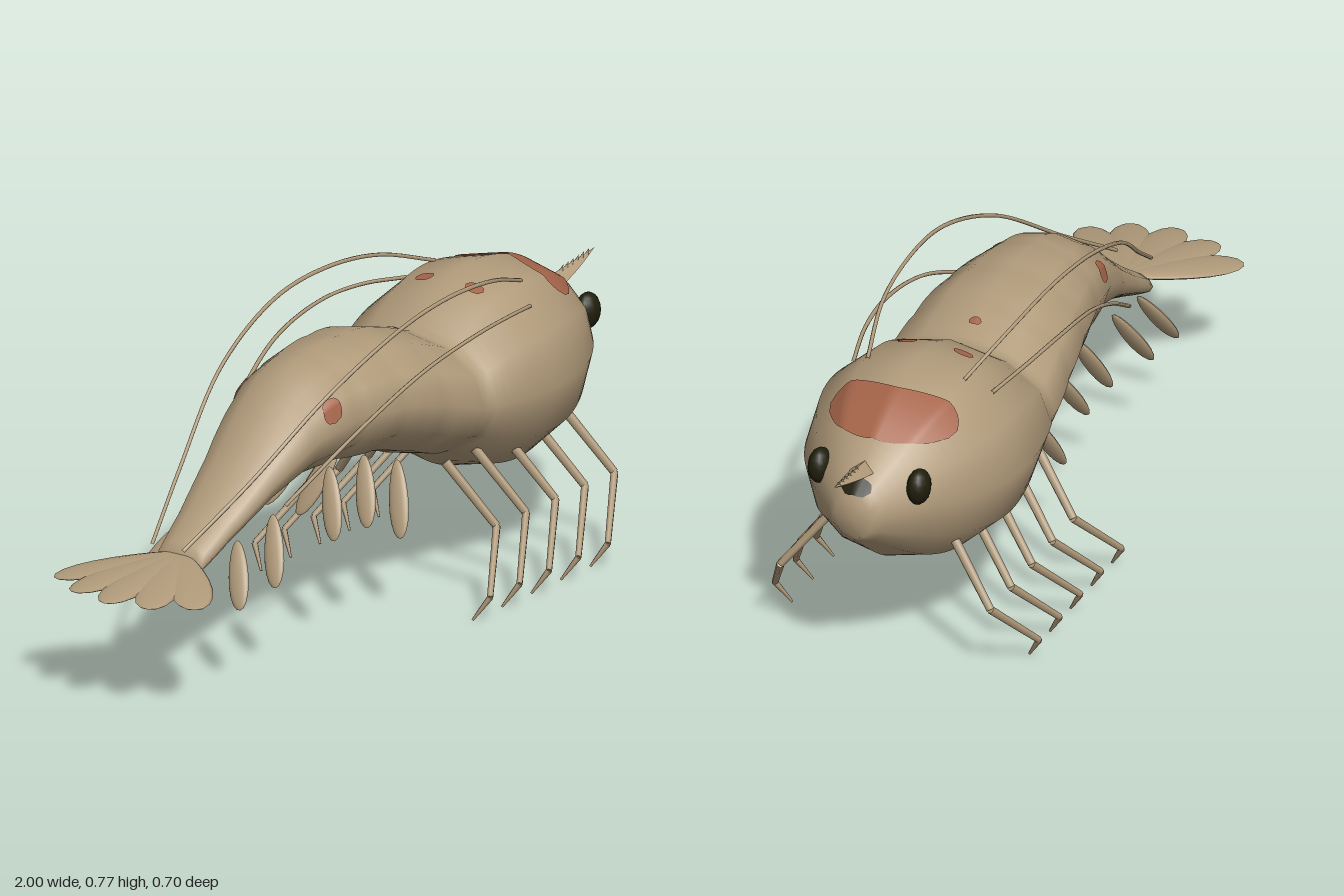
import * as THREE from 'three';

const mat = (name, color, side = THREE.FrontSide) => {
  const m = new THREE.MeshStandardMaterial({ color, side });
  m.name = name;
  return m;
};
const V = (x, y, z) => new THREE.Vector3(x, y, z);

// Body stations: x, centre line top, bottom, half width
const STATIONS = [
  [-0.7, 0.33, 0.265, 0.068], [-0.6, 0.4, 0.31, 0.083], [-0.5, 0.475, 0.355, 0.1],
  [-0.4, 0.56, 0.39, 0.12], [-0.3, 0.635, 0.41, 0.14], [-0.2, 0.675, 0.41, 0.16],
  [-0.1, 0.687, 0.4, 0.18], [0, 0.685, 0.387, 0.2], [0.1, 0.67, 0.355, 0.217],
  [0.2, 0.635, 0.325, 0.23], [0.25, 0.622, 0.315, 0.235], [0.32, 0.665, 0.27, 0.252],
  [0.4, 0.702, 0.237, 0.266], [0.5, 0.72, 0.222, 0.271], [0.6, 0.71, 0.235, 0.252],
  [0.7, 0.675, 0.275, 0.208], [0.8, 0.61, 0.345, 0.137], [0.89, 0.53, 0.42, 0.05],
];
const profile = new THREE.CubicInterpolant(
  STATIONS.map((s) => s[0]), STATIONS.flatMap((s) => s.slice(1)), 3);
const SIDES = 12;

// Point on the twelve-sided body; angle 0 is the back, positive towards +z
function bodyPoint(x, a, lift = 0) {
  const [top, bottom, halfWidth] = profile.evaluate(x);
  let k = 1;
  if (x > -0.65 && x < 0.25) k -= 0.025 * (1 - Math.abs(Math.sin(((x - 0.25) / 0.14) * Math.PI))) ** 2;
  const step = (Math.PI * 2) / SIDES;
  const local = ((a % step) + step) % step;
  k *= Math.cos(step / 2) / Math.cos(local - step / 2);
  return V(x, (top + bottom) / 2 + Math.cos(a) * (k * (top - bottom) / 2 + lift),
    Math.sin(a) * (k * halfWidth + lift));
}

function geometryFrom(points, index) {
  const g = new THREE.BufferGeometry().setFromPoints(points);
  g.setIndex(index);
  g.computeVertexNormals();
  return g;
}

function bodyGeometry() {
  const pts = [], idx = [], rings = 72;
  for (let i = 0; i <= rings; i++)
    for (let j = 0; j < SIDES; j++)
      pts.push(bodyPoint(-0.7 + (1.59 * i) / rings, (j / SIDES) * Math.PI * 2));
  const rear = pts.push(V(-0.7, 0.2975, 0)) - 1;
  const nose = pts.push(V(0.895, 0.475, 0)) - 1;
  for (let j = 0; j < SIDES; j++) {
    const n = (j + 1) % SIDES, last = rings * SIDES;
    for (let i = 0; i < rings; i++) {
      const a = i * SIDES + j, b = i * SIDES + n;
      idx.push(a, b, a + SIDES, b, b + SIDES, a + SIDES);
    }
    idx.push(rear, n, j, nose, last + j, last + n);
  }
  return geometryFrom(pts, idx);
}

// Thin painted sheet lying on the body; range(t) gives [xMin, xMax] for t in -1..1
function patchGeometry(angle, halfAngle, range, n = 16) {
  const pts = [], idx = [];
  for (let i = 0; i <= n; i++) {
    const t = (i / n) * 2 - 1, [lo, hi] = range(t);
    for (let j = 0; j <= n; j++)
      pts.push(bodyPoint(lo + ((hi - lo) * j) / n, angle + t * halfAngle, 0.004));
  }
  for (let i = 0; i < n; i++)
    for (let j = 0; j < n; j++) {
      const a = i * (n + 1) + j, b = a + n + 1;
      idx.push(a, b, a + 1, b, b + 1, a + 1);
    }
  return geometryFrom(pts, idx);
}
const oval = (x, r) => (t) => {
  const h = r * Math.pow(Math.max(0, 1 - t * t), 0.35);
  return [x - h, x + h];
};

// Leaf running from y = 0 to y = length, wide along x, thin along z
function leafGeometry(length, halfWidth, halfThick, bias) {
  const g = new THREE.SphereGeometry(1, 12, 10);
  const p = g.attributes.position;
  for (let i = 0; i < p.count; i++) {
    const y = p.getY(i), w = 1 + bias * y;
    p.setXYZ(i, p.getX(i) * halfWidth * w, ((y + 1) / 2) * length, p.getZ(i) * halfThick);
  }
  g.computeVertexNormals();
  return g;
}

// Place a leaf from a to b with its width along the given direction
function placeLeaf(mesh, a, b, across) {
  const y = b.clone().sub(a).normalize();
  const z = across.clone().cross(y).normalize();
  const x = y.clone().cross(z);
  mesh.quaternion.setFromRotationMatrix(new THREE.Matrix4().makeBasis(x, y, z));
  mesh.position.copy(a);
}

export function createModel() {
  const root = new THREE.Group();
  root.name = 'shrimp';
  const shell = mat('shell tan', 0xb09a7a);
  const rust = mat('rust marking', 0xa6654a, THREE.DoubleSide);
  const dark = mat('eye dark', 0x201e0b, THREE.DoubleSide);
  const add = (name, geo, m, parent = root) => {
    const mesh = new THREE.Mesh(geo, m);
    mesh.name = name;
    parent.add(mesh);
    return mesh;
  };

  add('body', bodyGeometry(), shell);

  // Markings on the back and flanks
  add('headMarking', patchGeometry(0, 0.8, (t) => [
    0.64 - 0.03 * Math.sin(Math.min(1, Math.abs(t) * 1.2) * Math.PI / 2) + 0.04 * t ** 8,
    0.775 - 0.055 * t * t - 0.04 * t ** 8], 24), rust);
  add('backSpot', patchGeometry(0, 0.07, oval(0.18, 0.011), 8), rust);
  add('noseMarking', patchGeometry(0, 0.55, oval(0.87, 0.018), 8), dark);

  // Rostrum: a tapering diamond spike curving up, with teeth along its top
  const spike = new THREE.ConeGeometry(1, 1, 4, 8).toNonIndexed();
  const p = spike.attributes.position;
  const spikeY = (t) => 0.567 + 0.047 * Math.pow(t, 1.4);
  for (let i = 0; i < p.count; i++) {
    const t = p.getY(i) + 0.5, r = Math.max(1e-6, 1 - t);
    const w = (1 - Math.pow(t, 1.5)) / r;
    p.setXYZ(i, 0.78 + 0.22 * t, spikeY(t) - p.getX(i) * 0.025 * w, p.getZ(i) * 0.033 * w);
  }
  spike.computeVertexNormals();
  add('rostrum', spike, shell);
  for (let i = 0; i < 6; i++) {
    const t = 0.4 + i * 0.095;
    const tooth = add('rostrumTooth', new THREE.ConeGeometry(0.006, 0.018, 4), shell);
    tooth.position.set(0.78 + 0.22 * t, spikeY(t) + 0.025 * (1 - t ** 1.5) + 0.001, 0);
    tooth.rotation.z = -0.7;
  }

  // Legs, swimmerets, feelers and eyes on both sides
  for (const s of [1, -1]) {
    const side = new THREE.Group();
    side.name = s > 0 ? 'leftSide' : 'rightSide';
    root.add(side);

    const eye = add('eye', new THREE.SphereGeometry(1, 14, 10), dark, side);
    eye.scale.set(0.038, 0.045, 0.028);
    eye.position.set(0.793, 0.54, 0.128 * s);

    add('shoulderSpot', patchGeometry(s * 0.28, 0.1, oval(0.41, 0.016), 8), rust, side);
    add('flankSpot', patchGeometry(s * 1.15, 0.24, oval(-0.257, 0.027), 10), rust, side);

    // Five jointed walking legs
    for (let i = 0; i < 5; i++) {
      const x = 0.7 - i * 0.12;
      const joints = [V(x - 0.045, 0.34, 0.155 * s), V(x, 0.19, 0.272 * s),
        V(x - 0.125, 0.06, 0.342 * s), V(x - 0.147, 0.003, 0.307 * s)];
      const radii = [0.012, 0.01, 0.008, 0.003];
      const leg = new THREE.Group();
      leg.name = 'walkingLeg';
      side.add(leg);
      for (let k = 0; k < 3; k++) {
        const d = joints[k + 1].clone().sub(joints[k]);
        const seg = add('legSegment',
          new THREE.CylinderGeometry(radii[k + 1], radii[k], d.length(), 6), shell, leg);
        seg.position.copy(joints[k]).addScaledVector(d, 0.5);
        seg.quaternion.setFromUnitVectors(V(0, 1, 0), d.normalize());
      }
    }

    // Five paddle-shaped swimmerets: root x, root y, tip x, tip y
    for (const [x0, y0, x1, y1] of [[0.075, 0.36, 0, 0.195], [-0.06, 0.41, -0.135, 0.26],
      [-0.2, 0.42, -0.27, 0.265], [-0.43, 0.365, -0.51, 0.215], [-0.575, 0.34, -0.655, 0.2]]) {
      const a = V(x0, y0, 0.085 * s), b = V(x1, y1, 0.15 * s);
      const leaf = add('swimmeret',
        leafGeometry(a.distanceTo(b), 0.027, 0.011, 0.15), shell, side);
      placeLeaf(leaf, a, b, V(0, 0, 1));
    }

    // Long upper and short lower feelers sweeping back
    for (const [name, pts] of [
      ['longFeeler', [[0.525, 0.69, 0.125], [0.35, 0.745, 0.165], [0.15, 0.763, 0.182],
        [-0.05, 0.74, 0.185], [-0.3, 0.645, 0.16], [-0.55, 0.475, 0.1], [-0.74, 0.35, 0.045]]],
      ['shortFeeler', [[0.485, 0.648, 0.18], [0.35, 0.663, 0.21], [0.2, 0.662, 0.224],
        [0, 0.625, 0.215], [-0.2, 0.535, 0.18], [-0.435, 0.395, 0.125]]]]) {
      const curve = new THREE.CatmullRomCurve3(pts.map(([x, y, z]) => V(x, y, z * s)));
      add(name, new THREE.TubeGeometry(curve, 40, 0.005, 6), shell, side);
    }
  }

  // Tail fan of five overlapping lobes
  const fan = new THREE.Group();
  fan.name = 'tailFan';
  root.add(fan);
  for (const k of [-2, -1, 0, 1, 2]) {
    const angle = k * 0.36, len = 0.32 - Math.abs(k) * 0.004;
    const a = V(-0.68, 0.322, 0);
    const b = V(-0.68 - len * Math.cos(angle), 0.285, len * Math.sin(angle));
    const lobe = add('tailLobe', leafGeometry(a.distanceTo(b), 0.05, 0.011, 0.35), shell, fan);
    placeLeaf(lobe, a, b, V(Math.sin(angle), 0, Math.cos(angle)));
  }
  return root;
}
